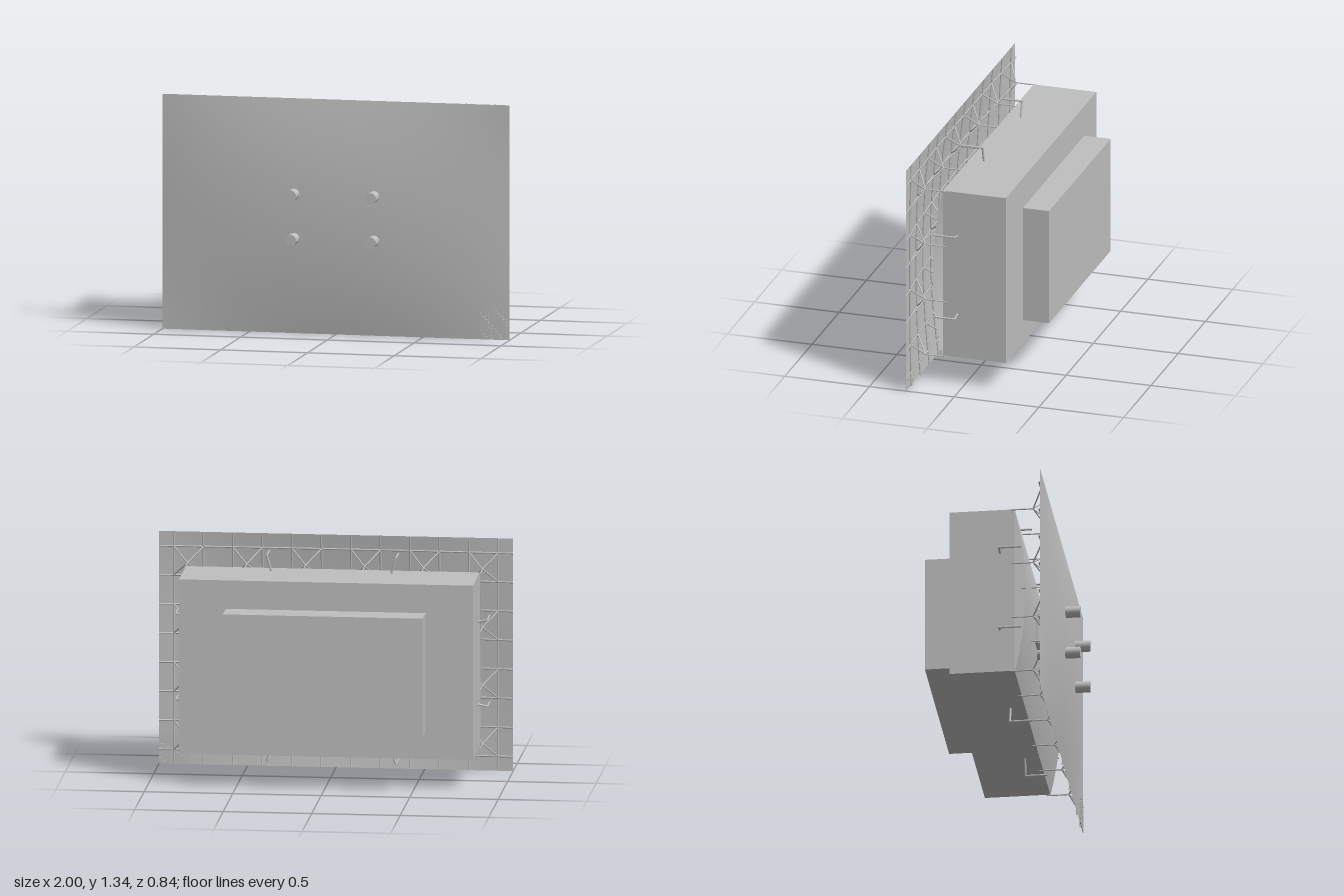
import * as THREE from 'three';

const W = 2, H = 1.334, CY = H / 2, CELL = 1 / 6;

// Depth of the bulging front skin; its four edges stay straight
const skinZ = (x, y) => {
  const u = x / (W / 2), v = (y - CY) / CY;
  return 0.285 + 0.057 * (1 - u * u) * (1 - v * v);
};

export function createModel() {
  const model = new THREE.Group();
  const grey = new THREE.MeshStandardMaterial({ color: 0xbfbfbf, side: THREE.DoubleSide });
  grey.name = 'plain grey';

  const add = (geometry, name, parent = model) => {
    const mesh = new THREE.Mesh(geometry, grey);
    mesh.name = name;
    parent.add(mesh);
    return mesh;
  };
  const group = (name) => {
    const g = new THREE.Group();
    g.name = name;
    model.add(g);
    return g;
  };
  const box = (name, w, h, d, x, y, z, parent) =>
    add(new THREE.BoxGeometry(w, h, d), name, parent).position.set(x, y, z);
  const rod = (name, a, b, radius, parent, sides = 8) => {
    const from = new THREE.Vector3(...a), to = new THREE.Vector3(...b);
    const dir = to.clone().sub(from);
    const mesh = add(new THREE.CylinderGeometry(radius, radius, dir.length(), sides), name, parent);
    mesh.position.copy(from).add(to).multiplyScalar(0.5);
    mesh.quaternion.setFromUnitVectors(new THREE.Vector3(0, 1, 0), dir.normalize());
  };
  const sheet = (name, w, h, nx, ny, depth) => {
    const geo = new THREE.PlaneGeometry(w, h, nx, ny).translate(0, CY, 0);
    const p = geo.attributes.position;
    for (let i = 0; i < p.count; i++) p.setZ(i, depth(p.getX(i), p.getY(i)));
    geo.computeVertexNormals();
    add(geo, name);
  };

  // Housing and rear unit
  box('housing', 1.66, 1, 0.37, 0, 0.67, -0.065);
  box('rearUnit', 1.13, 0.68, 0.155, 0, 0.67, -0.3425);

  // Bulging front skin and the sheet arched over the housing front
  sheet('frontSkin', W, H, 48, 32, skinZ);
  sheet('archedSheet', 1.66, 1, 1, 24, (x, y) => 0.121 + 0.06 * (1 - ((y - CY) / 0.5) ** 2));

  // Pipes through the skin, with a block behind each pair
  for (const x of [-1, 1]) {
    box('pipeBlock', 0.22, 0.22, 0.075, x * 0.25, 0.67, 0.1575);
    for (const y of [0.545, 0.797])
      rod('pipe', [x * 0.23, y, 0.12], [x * 0.23, y, 0.42], 0.032, model, 32);
  }

  // Lattice of bars along the back of the skin
  const lattice = group('lattice');
  const bar = (points) => add(new THREE.TubeGeometry(
    new THREE.CatmullRomCurve3(points), 24, 0.005, 6), 'latticeBar', lattice);
  const steps = [...Array(13).keys()].map((i) => i / 12);
  for (let i = 0; i < 12; i++) {
    const x = -1 + (i + 0.5) * CELL;
    bar(steps.map((t) => new THREE.Vector3(x, t * H, skinZ(x, t * H) - 0.006)));
  }
  for (let j = 0; j < 8; j++) {
    const y = (j + 0.5) * CELL;
    bar(steps.map((t) => new THREE.Vector3(t * W - 1, y, skinZ(t * W - 1, y) - 0.006)));
  }

  // Four-legged mounts between housing and lattice
  const mounts = group('mounts');
  for (let i = 0; i < 6; i++) for (let j = 0; j < 4; j++) {
    const x = (2 * i - 5) * CELL, y = (2 * j + 1) * CELL;
    const hub = [x, y, 0.225];
    rod('mountStem', [x, y, 0.1], hub, 0.004, mounts);
    for (const sx of [-1, 1]) for (const sy of [-1, 1]) {
      const ex = x + sx * CELL / 2, ey = y + sy * CELL / 2;
      rod('mountLeg', hub, [ex, ey, skinZ(ex, ey) - 0.006], 0.004, mounts);
    }
  }

  // Bent hooks around the housing
  const hooks = group('hooks');
  const hook = (bx, by, ex, ey) => {
    rod('hookStem', [bx, by, 0.037], [ex, ey, 0.037], 0.006, hooks);
    rod('hookArm', [ex, ey, 0.031], [ex, ey, 0.162], 0.006, hooks);
  };
  for (const sx of [-1, 1]) for (const sy of [-1, 1]) {
    hook(sx * 0.335, CY + sy * 0.49, sx * 0.365, CY + sy * 0.592);
    hook(sx * 0.82, CY + sy * 0.235, sx * 0.88, CY + sy * 0.248);
  }

  // Corner cell covered in small thin tiles
  const tiles = group('cornerTiles');
  const n = 10, pitch = CELL / n;
  for (let i = 0; i < n; i++) for (let j = 0; j < n; j++) {
    const x = 1 - (i + 0.5) * pitch, y = (j + 0.5) * pitch;
    box('tile', pitch * 0.9, pitch * 0.9, 0.004, x, y, skinZ(x, y) + 0.001, tiles);
  }

  return model;
}
